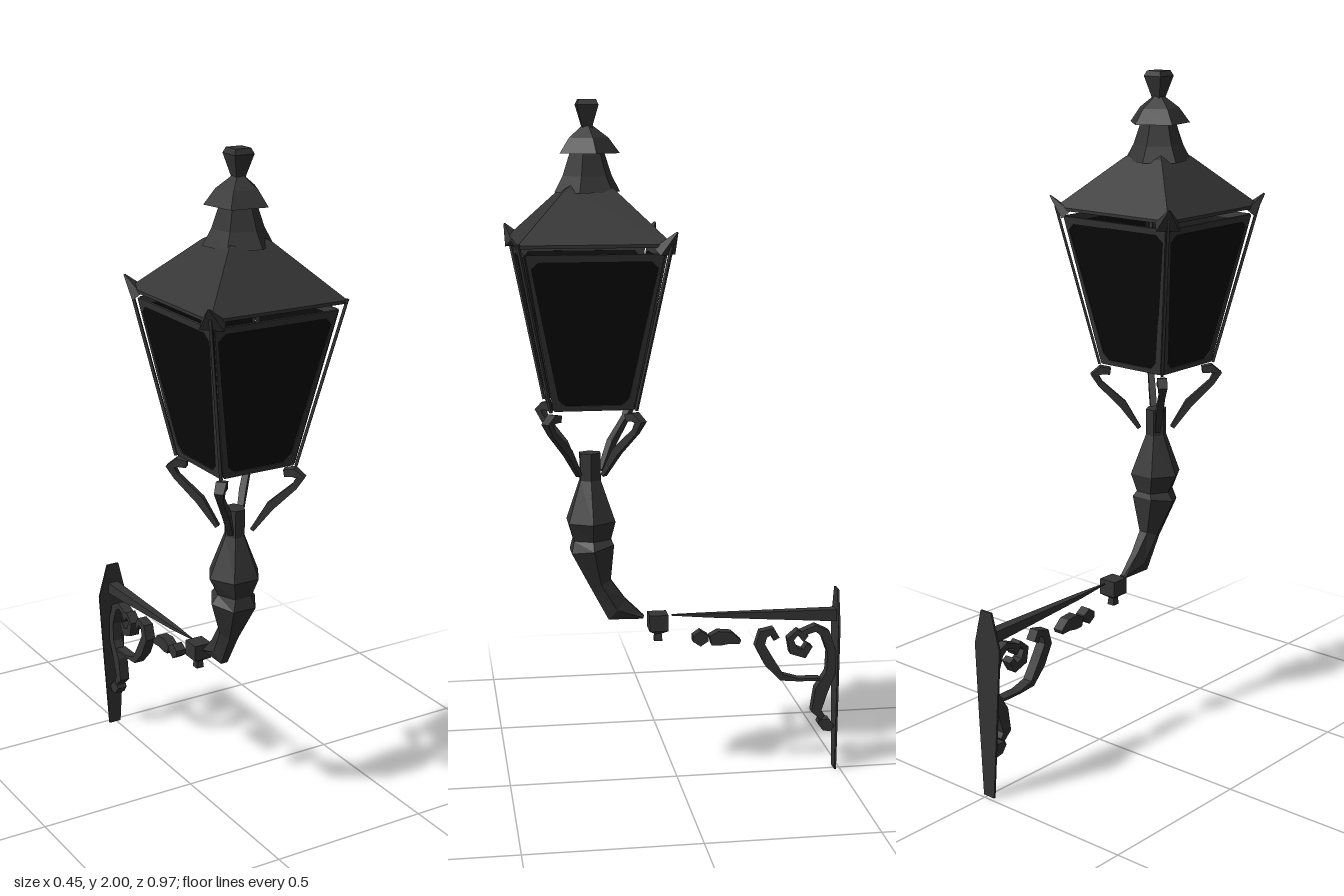
import * as THREE from 'three';

const iron = new THREE.MeshStandardMaterial({ color: 0x343434, flatShading: true, side: THREE.DoubleSide });
iron.name = 'wrought iron';
const glass = new THREE.MeshStandardMaterial({ color: 0x0a0a0a, flatShading: true, side: THREE.DoubleSide });
glass.name = 'dark glass';

function add(parent, name, geometry, material = iron) {
  const mesh = new THREE.Mesh(geometry, material);
  mesh.name = name;
  parent.add(mesh);
  return mesh;
}

// Faceted bar swept along a path in the z-y plane.
// Each point is [z, y, half thickness, half width along x].
function sweep(points, sides = 4) {
  const pos = [], index = [], n = points.length;
  const k = sides === 4 ? Math.SQRT2 : 1, turn = sides === 4 ? Math.PI / 4 : 0;
  points.forEach(([z, y, t, w], i) => {
    const a = points[Math.max(i - 1, 0)], b = points[Math.min(i + 1, n - 1)];
    const len = Math.hypot(b[0] - a[0], b[1] - a[1]);
    const nz = -(b[1] - a[1]) / len, ny = (b[0] - a[0]) / len;
    for (let s = 0; s < sides; s++) {
      const ang = turn + s * 2 * Math.PI / sides;
      const off = Math.sin(ang) * t * k;
      pos.push(Math.cos(ang) * w * k, y + ny * off, z + nz * off);
    }
  });
  for (let i = 0; i < n - 1; i++) for (let s = 0; s < sides; s++) {
    const a = i * sides + s, b = i * sides + (s + 1) % sides;
    index.push(a, b, a + sides, b, b + sides, a + sides);
  }
  const last = (n - 1) * sides;
  for (let s = 1; s < sides - 1; s++) {
    index.push(0, s + 1, s, last, last + s, last + s + 1);
  }
  const g = new THREE.BufferGeometry();
  g.setAttribute('position', new THREE.Float32BufferAttribute(pos, 3));
  g.setIndex(index);
  g.computeVertexNormals();
  return g;
}

// Trapezoid with clipped corners
function trapezoid(bottomHalf, topHalf, y0, y1, clip, Type = THREE.Shape) {
  const c = clip;
  return new Type([
    [-bottomHalf + c, y0], [bottomHalf - c, y0], [bottomHalf, y0 + c], [topHalf, y1 - c],
    [topHalf - c, y1], [-topHalf + c, y1], [-topHalf, y1 - c], [-bottomHalf, y0 + c],
  ].map(([x, y]) => new THREE.Vector2(x, y)));
}

const lathe = (profile, sides) =>
  new THREE.LatheGeometry(profile.map(([r, y]) => new THREE.Vector2(r, y)), sides);

function createLantern() {
  const lantern = new THREE.Group();
  lantern.name = 'lantern';

  // Four sloping glazed sides
  const frameShape = trapezoid(0.114, 0.19, 0, 0.45, 0.004);
  frameShape.holes.push(trapezoid(0.1, 0.175, 0.015, 0.43, 0.02, THREE.Path));
  const frameGeo = new THREE.ExtrudeGeometry(frameShape, { depth: 0.006, bevelEnabled: false });
  const glassGeo = new THREE.ShapeGeometry(trapezoid(0.101, 0.176, 0.014, 0.431, 0.02));
  for (let k = 0; k < 4; k++) {
    const side = new THREE.Group();
    side.name = 'lanternSide';
    side.rotation.y = k * Math.PI / 2;
    const panel = new THREE.Group();
    panel.name = 'panel';
    panel.position.set(0, 1.143, 0.114);
    panel.rotation.x = 0.178;
    add(panel, 'paneFrame', frameGeo);
    add(panel, 'pane', glassGeo, glass).position.z = 0.003;
    side.add(panel);
    lantern.add(side);
  }

  // Corner rods, support arms and roof ears on the diagonals
  const rodGeo = sweep([[0.17, 1.14, 0.004, 0.004], [0.298, 1.615, 0.004, 0.004]]);
  const armGeo = sweep([
    [0.05, 0.94, 0.006, 0.008], [0.1, 1.015, 0.012, 0.01], [0.168, 1.08, 0.009, 0.009],
    [0.185, 1.108, 0.012, 0.013], [0.165, 1.122, 0.012, 0.015], [0.138, 1.118, 0.01, 0.012],
  ]);
  const earGeo = sweep([[0.27, 1.592, 0.016, 0.033], [0.314, 1.645, 0.002, 0.002]]);
  for (let k = 0; k < 4; k++) {
    const corner = new THREE.Group();
    corner.name = 'lanternCorner';
    corner.rotation.y = Math.PI / 4 + k * Math.PI / 2;
    add(corner, 'cornerRod', rodGeo);
    add(corner, 'supportArm', armGeo);
    if (k > 0) add(corner, 'roofEar', earGeo);
    lantern.add(corner);
  }

  // Square roof
  const q = Math.SQRT2;
  add(lantern, 'roof', lathe([[0.211 * q, 1.603], [0.211 * q, 1.612], [0.068 * q, 1.755], [0, 1.8]], 4))
    .rotation.y = Math.PI / 4;

  // Vent collar, flared cap and finial
  add(lantern, 'ventCollar', lathe([[0.096, 1.745], [0.072, 1.79], [0.045, 1.87]], 6)).rotation.y = 0.2;
  add(lantern, 'ventCap', lathe([[0.03, 1.86], [0.092, 1.852], [0.06, 1.895], [0.016, 1.928]], 5)).rotation.y = 0.5;
  add(lantern, 'finial', lathe([[0.02, 1.9], [0.02, 1.925], [0.043, 1.985], [0.034, 2], [0, 2]], 4))
    .rotation.y = Math.PI / 4;

  lantern.position.set(-0.005, 0, 0.253);
  return lantern;
}

function createBracket() {
  const bracket = new THREE.Group();
  bracket.name = 'wallBracket';

  // Baluster post bending back toward the wall
  add(bracket, 'post', sweep([
    [0.253, 1, 0.034, 0.03], [0.253, 0.92, 0.034, 0.03], [0.252, 0.8, 0.078, 0.08],
    [0.25, 0.745, 0.062, 0.052], [0.25, 0.72, 0.072, 0.072], [0.226, 0.61, 0.036, 0.03],
    [0.178, 0.53, 0.045, 0.022], [0.1, 0.502, 0.006, 0.012],
  ], 6));

  // Knot between post and bar
  add(bracket, 'knot', sweep([
    [0.056, 0.51, 0.028, 0.028], [0.056, 0.462, 0.028, 0.028],
    [0.056, 0.45, 0.01, 0.01], [0.056, 0.428, 0.012, 0.012],
  ]));

  // Tapered horizontal bar
  add(bracket, 'bar', sweep([[0.015, 0.503, 0.002, 0.002], [-0.1, 0.498, 0.006, 0.009], [-0.485, 0.484, 0.018, 0.017]]));

  // Scrollwork under the bar: [z, y, half thickness]
  const scrolls = [
    [[-0.047, 0.43, 0.008], [-0.07, 0.43, 0.024], [-0.094, 0.43, 0.008]],
    [[-0.1, 0.422, 0.014], [-0.125, 0.428, 0.022], [-0.16, 0.428, 0.018], [-0.19, 0.414, 0.006]],
    [[-0.3, 0.418, 0.01], [-0.288, 0.442, 0.011], [-0.26, 0.434, 0.014], [-0.25, 0.4, 0.015],
      [-0.28, 0.345, 0.016], [-0.318, 0.297, 0.01], [-0.37, 0.287, 0.004], [-0.435, 0.286, 0.004]],
    [[-0.39, 0.415, 0.012], [-0.365, 0.435, 0.009], [-0.343, 0.415, 0.01], [-0.352, 0.38, 0.014],
      [-0.385, 0.368, 0.014], [-0.402, 0.395, 0.01]],
    [[-0.375, 0.43, 0.007], [-0.42, 0.446, 0.01], [-0.45, 0.428, 0.014], [-0.47, 0.37, 0.013],
      [-0.468, 0.305, 0.014], [-0.44, 0.25, 0.02], [-0.425, 0.185, 0.015], [-0.445, 0.165, 0.009]],
    [[-0.432, 0.152, 0.006], [-0.455, 0.142, 0.02], [-0.475, 0.128, 0.01]],
  ];
  for (const path of scrolls) {
    add(bracket, 'scroll', sweep(path.map(([z, y, t]) => [z, y, t, 0.016])));
  }

  // Flat pointed wall plate
  const outline = [[-0.02, 0], [0.02, 0], [0.034, 0.24], [0.045, 0.46], [0.02, 0.565],
    [-0.02, 0.565], [-0.05, 0.46], [-0.036, 0.24]].map(([x, y]) => new THREE.Vector2(x, y));
  add(bracket, 'wallPlate', new THREE.ExtrudeGeometry(new THREE.Shape(outline), { depth: 0.006, bevelEnabled: false }))
    .position.z = -0.488;

  bracket.position.x = -0.006;
  return bracket;
}

export function createModel() {
  const model = new THREE.Group();
  model.name = 'wallLantern';
  model.add(createLantern(), createBracket());
  return model;
}
